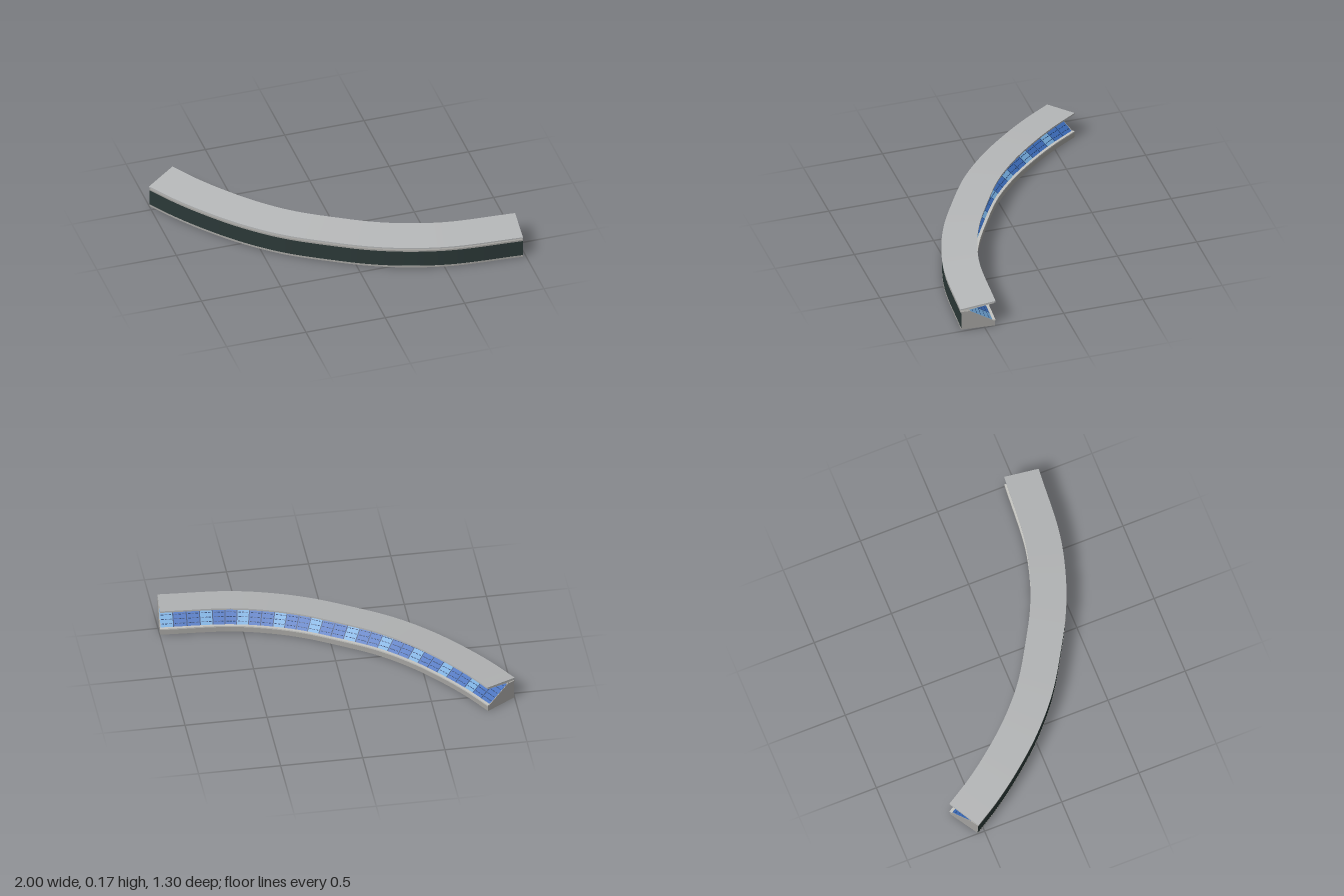
import * as THREE from 'three';

const mat = (name, color) => {
  const m = new THREE.MeshStandardMaterial({ color, side: THREE.DoubleSide });
  m.name = name;
  return m;
};

// Plan of the outer edge; every part is a cross-section swept along it
const plan = [[-1, -0.54], [-0.895, -0.372], [-0.767, -0.199], [-0.593, 0], [-0.385, 0.184],
  [-0.118, 0.353], [0.068, 0.455], [0.265, 0.535], [0.536, 0.606], [0.98, 0.645]];
const path = new THREE.CatmullRomCurve3(plan.map(([x, z]) => new THREE.Vector3(x, 0, z)));
const BAYS = 30;

// Point at fraction t along the stand, depth d inward and height y
function place(t, [d, y]) {
  const p = path.getPointAt(t), g = path.getTangentAt(t);
  return [p.x + g.z * d, y, p.z - g.x * d];
}

// Sweep convex sections [depth, height] (anticlockwise) over spans [t0, t1, steps]
function sweep(profile, spans) {
  const pos = [];
  const n = profile.length;
  for (const [t0, t1, steps] of spans) {
    const rings = [];
    for (let i = 0; i <= steps; i++) {
      const t = t0 + (t1 - t0) * i / steps;
      rings.push(profile.map(p => place(t, p)));
    }
    for (let i = 0; i < steps; i++) {
      for (let j = 0; j < n; j++) {
        const k = (j + 1) % n;
        const a = rings[i][j], b = rings[i][k], c = rings[i + 1][k], e = rings[i + 1][j];
        pos.push(...a, ...b, ...c, ...a, ...c, ...e);
      }
    }
    const first = rings[0], last = rings[steps];
    for (let j = 1; j < n - 1; j++) {
      pos.push(...first[0], ...first[j + 1], ...first[j]);
      pos.push(...last[0], ...last[j], ...last[j + 1]);
    }
  }
  const geo = new THREE.BufferGeometry();
  geo.setAttribute('position', new THREE.Float32BufferAttribute(pos, 3));
  geo.computeVertexNormals();
  return geo;
}

const rect = (d0, d1, y0, y1) => [[d0, y0], [d1, y0], [d1, y1], [d0, y1]];

export function createModel() {
  const group = new THREE.Group();
  const concrete = mat('concrete', 0xa3a29f);
  const roofGrey = mat('roof grey', 0xb4b6b7);
  const steel = mat('steel', 0xc4c4c0);
  const cladding = mat('dark cladding', 0x2b3837);
  const blue = mat('seat blue', 0x3b6bb8);
  const lightBlue = mat('light seat blue', 0x70a6d6);
  const navy = mat('navy', 0x22406f);

  const add = (name, profile, spans, material) => {
    const mesh = new THREE.Mesh(sweep(profile, spans), material);
    mesh.name = name;
    group.add(mesh);
  };
  const full = [[0, 1, BAYS * 2]];
  // Thin radial slices, one at each bay line
  const slices = (half, from = 0, to = BAYS) => {
    const out = [];
    for (let i = from; i <= to; i++) {
      const t = i / BAYS;
      out.push([Math.max(0, t - half), Math.min(1, t + half), 1]);
    }
    return out;
  };

  // Rear wall
  add('rearCladding', rect(0.003, 0.006, 0.012, 0.115), full, cladding);
  add('rearWallLining', rect(0.006, 0.01, 0, 0.115), full, concrete);
  add('rearPlinth', rect(0.002, 0.006, 0, 0.012), full, concrete);

  // Upper walkway, raked slab, front wall and its lip
  add('upperWalkway', rect(0.002, 0.058, 0.115, 0.125), full, concrete);
  add('rakedSlab', [[0.058, 0.115], [0.2, 0.028], [0.2, 0.035], [0.058, 0.124]], full, concrete);
  add('frontWall', rect(0.2, 0.212, 0, 0.035), full, concrete);
  add('frontLip', rect(0.197, 0.214, 0.035, 0.043), full, steel);

  // End walls and the supporting ribs inside
  const endSection = [[0.004, 0], [0.208, 0], [0.208, 0.034], [0.058, 0.124], [0.004, 0.124]];
  add('endWalls', endSection, [[0, 0.002, 1], [0.998, 1, 1]], concrete);
  add('supportRibs', [[0.01, 0], [0.2, 0.02], [0.2, 0.03], [0.058, 0.116], [0.01, 0.116]],
    slices(0.0012, 1, BAYS - 1), concrete);

  // Seating blocks laid on the rake, in alternating blues
  const rake = d => 0.124 - (d - 0.058) * 0.089 / 0.142;
  const onRake = (d0, d1, low, high) =>
    [[d0, rake(d0) + low], [d1, rake(d1) + low], [d1, rake(d1) + high], [d0, rake(d0) + high]];
  const darkBays = [], lightBays = [], rowDashes = [];
  for (let i = 0; i < BAYS; i++) {
    const t0 = (i + 0.04) / BAYS, t1 = (i + 0.96) / BAYS;
    (i % 3 === 2 ? lightBays : darkBays).push([t0, t1, 2]);
    for (let k = 0; k < 3; k++) {
      rowDashes.push([(i + 0.12 + k * 0.28) / BAYS, (i + 0.32 + k * 0.28) / BAYS, 1]);
    }
  }
  add('blueSeatBlocks', onRake(0.06, 0.197, 0, 0.003), darkBays, blue);
  add('lightBlueSeatBlocks', onRake(0.06, 0.197, 0, 0.003), lightBays, lightBlue);
  add('aisles', onRake(0.06, 0.197, 0, 0.002), slices(0.0014, 1, BAYS - 1), navy);
  for (let r = 0; r < 5; r++) {
    const d = 0.076 + r * 0.025;
    add('seatRow', onRake(d, d + 0.003, 0.003, 0.0045), rowDashes, navy);
  }

  // Roof rising toward the field, with beams and short posts below
  add('roof', [[-0.001, 0.137], [0.215, 0.164], [0.215, 0.175], [-0.001, 0.145]], full, roofGrey);
  add('roofBeams', [[0.012, 0.132], [0.06, 0.136], [0.205, 0.16], [0.205, 0.164], [0.012, 0.14]],
    slices(0.0015), steel);
  add('roofPosts', rect(0.045, 0.053, 0.125, 0.142), slices(0.0022), steel);
  return group;
}
